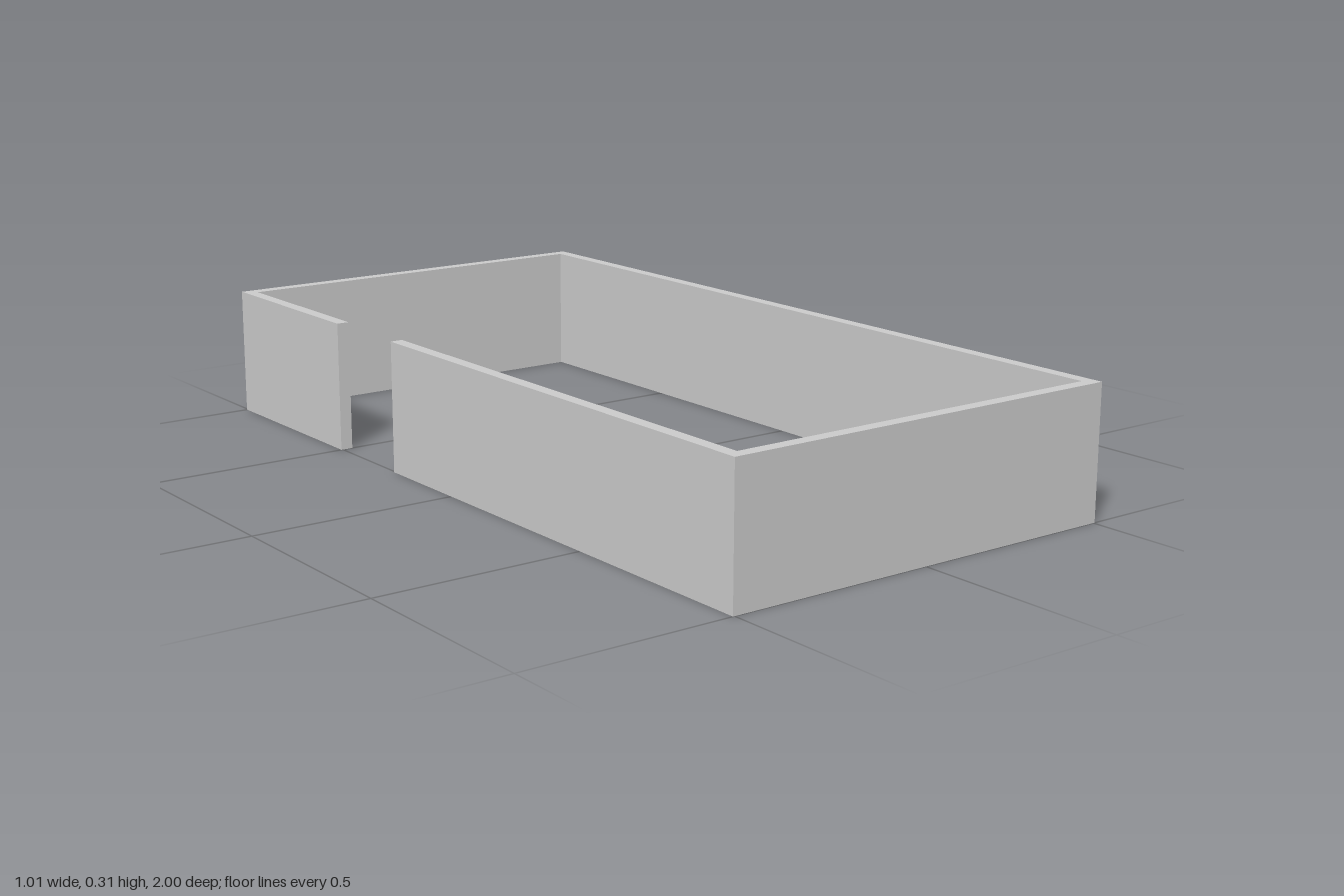
import * as THREE from 'three';

const W = 0.504, D = 1, H = 0.313, T = 0.03; // half width, half depth, height, wall thickness
const GAP_BACK = -0.5, GAP_FRONT = -0.25; // doorway along z in the -x wall

export function createModel() {
  const group = new THREE.Group();
  group.name = 'walledEnclosure';

  // C-shaped floor plan, drawn as (x, -z) so the extrusion can be turned upright
  const plan = [
    [-W, GAP_FRONT], [-W, D], [W, D], [W, -D], [-W, -D], [-W, GAP_BACK],
    [-W + T, GAP_BACK], [-W + T, -D + T], [W - T, -D + T],
    [W - T, D - T], [-W + T, D - T], [-W + T, GAP_FRONT],
  ].map(([x, z]) => new THREE.Vector2(x, -z));

  // Continuous wall with an open doorway
  const geometry = new THREE.ExtrudeGeometry(new THREE.Shape(plan), { depth: H, bevelEnabled: false });
  geometry.rotateX(-Math.PI / 2);
  const walls = new THREE.Mesh(geometry, new THREE.MeshStandardMaterial({ color: 0xcccccc }));
  walls.name = 'perimeterWalls';
  group.add(walls);

  return group;
}
